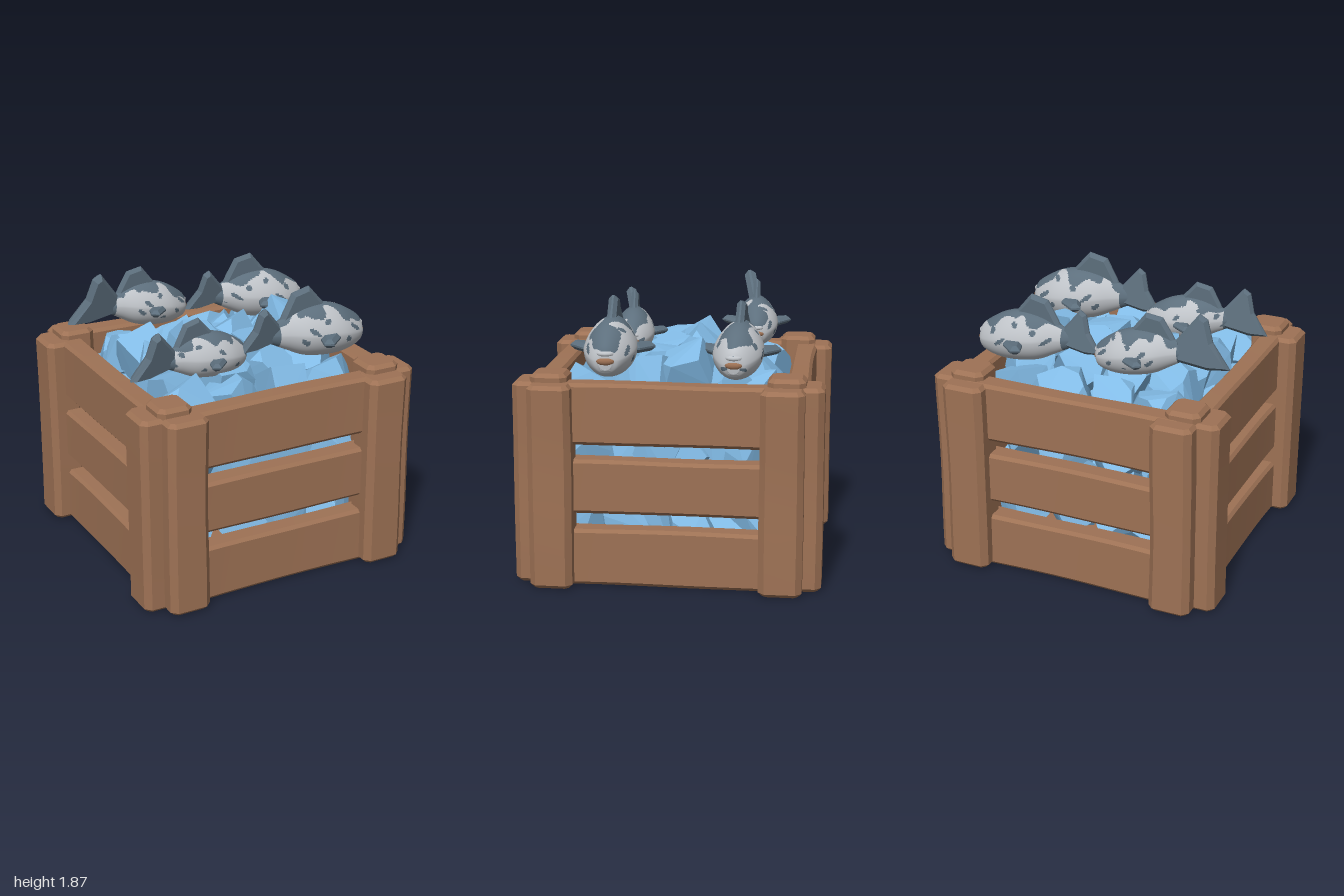
import * as THREE from 'three';
import { toCreasedNormals } from 'three/addons/utils/BufferGeometryUtils.js';
import { ConvexGeometry } from 'three/addons/geometries/ConvexGeometry.js';

const mat = (name, color) => {
  const m = new THREE.MeshStandardMaterial({ color });
  m.name = name;
  return m;
};

// small seeded random number generator
let seed = 7;
const rnd = () => {
  seed = (seed * 16807) % 2147483647;
  return seed / 2147483647;
};
const jit = (a) => (rnd() * 2 - 1) * a;

function polygon(points) {
  return new THREE.Shape(points.map(([x, y]) => new THREE.Vector2(x, y)));
}

// hand-cut timber: section w by t with chamfer c, running along z,
// slightly wavy and thinned by waist in the middle
function board(length, w, t, c, waist) {
  const x = w / 2 - c, y = t / 2 - c;
  const shape = polygon([[-x, -y + c], [-x + c, -y], [x - c, -y], [x, -y + c],
    [x, y - c], [x - c, y], [-x + c, y], [-x, y - c]]);
  const geo = new THREE.ExtrudeGeometry(shape, {
    depth: length - 2 * c, steps: 10, bevelThickness: c, bevelSize: c, bevelSegments: 1,
  });
  geo.translate(0, 0, c - length / 2);
  const p = geo.attributes.position, phase = rnd() * 6;
  for (let i = 0; i < p.count; i++) {
    const z = p.getZ(i), u = (2 * z) / length;
    const thin = 1 - waist * (1 - u ** 4) + 0.015 * Math.sin(z * 6 + phase);
    p.setX(i, p.getX(i) * thin + 0.004 * Math.sin(z * 4 + phase));
    p.setY(i, p.getY(i) * (1 + 0.012 * Math.sin(z * 5 + phase * 2)));
  }
  return toCreasedNormals(geo, 0.5);
}

// irregular block of ice: a jittered cube with some corners cut off
function iceGeometry(size) {
  const pts = [], h = size / 2;
  for (const x of [-h, h]) for (const y of [-h, h]) for (const z of [-h, h]) {
    const v = new THREE.Vector3(x + jit(h * 0.12), y + jit(h * 0.12), z + jit(h * 0.12));
    if (rnd() < 0.5) {
      pts.push(v);
    } else {
      const cut = 0.45 + rnd() * 0.3;
      for (const axis of ['x', 'y', 'z']) {
        const q = v.clone();
        q[axis] *= 1 - cut;
        pts.push(q);
      }
    }
  }
  return new ConvexGeometry(pts);
}

// body stations: x, top, bottom, half width
const BODY = [
  [-0.30, 0.07, -0.04, 0.03], [-0.18, 0.13, -0.10, 0.085], [-0.05, 0.17, -0.16, 0.145],
  [0.10, 0.18, -0.185, 0.172], [0.22, 0.15, -0.185, 0.165], [0.33, 0.09, -0.165, 0.125],
  [0.39, 0.045, -0.14, 0.085], [0.415, 0.01, -0.11, 0.045],
];

// lofted body; faces go to the light or the dark group by a blotch rule
function bodyGeometry(phase) {
  const outline = new THREE.CatmullRomCurve3(BODY.map((s) => new THREE.Vector3(s[0], s[1], s[2])));
  const width = new THREE.CatmullRomCurve3(BODY.map((s) => new THREE.Vector3(s[0], s[3], 0)));
  const rows = 110, cols = 96, pos = [], light = [], dark = [];
  for (let i = 0; i <= rows; i++) {
    const o = outline.getPoint(i / rows), w = width.getPoint(i / rows).y;
    for (let j = 0; j < cols; j++) {
      const a = (j / cols) * Math.PI * 2, s = Math.sin(a);
      pos.push(o.x, (o.y + o.z) / 2 + s * (o.y - o.z) / 2,
        w * Math.cos(a) * (1 - 0.22 * Math.max(0, s)));
    }
  }
  const isDark = (i, j) => {
    const k = (i * cols + j) * 3, x = pos[k], y = pos[k + 1], z = pos[k + 2];
    const s = Math.sin(((j + 0.5) / cols) * Math.PI * 2);
    const n = Math.sin(x * 21 + phase + z * 9) + 0.7 * Math.sin(x * 37 - z * 25 + phase * 3)
      + 0.5 * Math.sin(y * 50 + x * 15 + phase);
    const spots = Math.sin(x * 30 + phase * 2 + Math.sin(y * 30)) * Math.sin(y * 36 + phase + x * 12);
    return s > 0.74 - 0.15 * n || (spots > 0.75 && s > -0.5) || x < -0.24;
  };
  for (let i = 0; i < rows; i++) {
    for (let j = 0; j < cols; j++) {
      const a = i * cols + j, b = i * cols + (j + 1) % cols;
      (isDark(i, j) ? dark : light).push(a, a + cols, b, b, a + cols, b + cols);
    }
  }
  // end caps
  const last = rows * cols, n = pos.length / 3;
  pos.push(-0.30, 0.015, 0, 0.42, -0.05, 0);
  for (let j = 0; j < cols; j++) {
    const k = (j + 1) % cols;
    dark.push(n, j, k);
    light.push(n + 1, last + k, last + j);
  }
  const geo = new THREE.BufferGeometry();
  geo.setAttribute('position', new THREE.Float32BufferAttribute(pos, 3));
  geo.setIndex([...light, ...dark]);
  geo.addGroup(0, light.length, 0);
  geo.addGroup(light.length, dark.length, 1);
  geo.computeVertexNormals();
  return geo;
}

function finGeometry(points, thick) {
  const geo = new THREE.ExtrudeGeometry(polygon(points), {
    depth: thick * 0.2, bevelThickness: thick * 0.4, bevelSize: 0.025, bevelOffset: -0.025, bevelSegments: 1,
  });
  return geo.translate(0, 0, -thick * 0.1);
}

const TAIL = [[0.03, 0.08], [-0.14, 0.28], [-0.2, 0.24], [-0.24, 0.08], [-0.37, -0.11], [-0.21, -0.12], [0.03, -0.07]];
const DORSAL = [[-0.25, 0.04], [-0.2, 0.15], [-0.13, 0.28], [0.0, 0.31], [0.07, 0.23], [0.17, 0.12]];
const SIDE_FIN = [[0.16, 0.12], [0.14, 0.19], [0.03, 0.28], [-0.03, 0.25], [0.02, 0.12]];

export function createModel() {
  const wood = mat('wood', 0x9e7255);
  const ice = mat('ice', 0x82bbe6);
  const pale = mat('pale scales', 0xc0c4c9);
  const slate = mat('slate scales', 0x5d6f7d);
  const model = new THREE.Group();
  const add = (parent, name, geo, material, x = 0, y = 0, z = 0) => {
    const m = new THREE.Mesh(geo, material);
    m.name = name;
    m.position.set(x, y, z);
    parent.add(m);
    return m;
  };

  // crate
  const crate = new THREE.Group();
  crate.name = 'crate';
  model.add(crate);
  const upright = (h, w, d) => board(h, w, d, 0.025, 0).rotateX(-Math.PI / 2);
  for (const sx of [-1, 1]) for (const sz of [-1, 1]) {
    add(crate, 'cornerCore', upright(1.38, 0.24, 0.24), wood, sx * 0.76, 0.71, sz * 0.76);
    add(crate, 'endPost', upright(1.34, 0.28, 0.24), wood, sx * 0.73, 0.675, sz * 0.88);
    add(crate, 'sidePost', upright(1.34, 0.24, 0.28), wood, sx * 0.88, 0.675, sz * 0.74);
  }
  const plank = (h) => board(1.5, 0.17, h, 0.014, 0.15);
  for (const [low, high] of [[0.005, 0.385], [0.49, 0.845], [0.945, 1.345]]) {
    const y = (low + high) / 2, h = high - low;
    for (const s of [-1, 1]) {
      add(crate, 'endPlank', plank(h).rotateY(Math.PI / 2), wood, 0, y, s * 0.82);
      add(crate, 'sidePlank', plank(h), wood, s * 0.815, y, 0);
    }
  }
  add(crate, 'floor', new THREE.BoxGeometry(1.5, 0.04, 1.14), wood, 0, 0.1, 0);

  // heap of ice, top layer highest just behind the middle and lower at the rims
  const heap = new THREE.Group();
  heap.name = 'iceHeap';
  model.add(heap);
  const crown = [-0.06, -0.02, 0.07, 0.02, -0.03, -0.07];
  for (let l = 0; l < 5; l++) for (let i = 0; i < 4; i++) for (let k = 0; k < 6; k++) {
    const raise = l === 4 ? crown[k] : 0;
    const block = add(heap, 'iceBlock', iceGeometry(0.25 + rnd() * 0.03), ice,
      -0.52 + i * 0.35 + jit(0.03), 0.35 + l * 0.235 + raise + jit(0.02), -0.54 + k * 0.216 + jit(0.02));
    block.rotation.set(jit(1.5), jit(1.5), jit(1.5));
  }

  // fish: x, y, z, scale, yaw, pitch, tail size
  const poses = [
    [0.45, 1.54, 0.40, 1.0, 0.03, 0, 0.75],
    [0.47, 1.54, -0.44, 0.95, -0.04, -0.03, 0.75],
    [-0.36, 1.50, 0.38, 0.84, 0.09, 0, 0.95],
    [-0.37, 1.59, -0.48, 0.85, 0.07, -0.06, 1.05],
  ];
  poses.forEach(([x, y, z, scale, yaw, pitch, tailSize], i) => {
    const fish = new THREE.Group();
    fish.name = 'fish';
    fish.position.set(x, y, z);
    fish.rotation.set(0, yaw, pitch);
    fish.scale.setScalar(scale);
    model.add(fish);
    add(fish, 'body', bodyGeometry(1 + i * 1.9), [pale, slate]);
    const tail = add(fish, 'tailFin', finGeometry(TAIL, 0.09), slate, -0.25, 0.02, 0);
    tail.scale.setScalar(tailSize);
    tail.rotation.set(0.2, 0.05, 0);
    add(fish, 'backFin', finGeometry(DORSAL, 0.06), slate);
    for (const s of [-1, 1]) {
      add(fish, 'sideFin', finGeometry(SIDE_FIN.map(([a, b]) => [a, b * s]), 0.06).rotateX(Math.PI / 2),
        slate, 0, -0.02, 0);
    }
    // open mouth between two lips
    const lump = (name, m, px, py, a, b, c) =>
      add(fish, name, new THREE.SphereGeometry(1, 12, 8).scale(a, b, c), m, px, py, 0);
    lump('mouth', wood, 0.405, -0.052, 0.024, 0.028, 0.06);
    lump('upperLip', pale, 0.385, -0.005, 0.042, 0.024, 0.06);
    lump('lowerLip', pale, 0.375, -0.105, 0.042, 0.024, 0.06);
  });
  return model;
}
